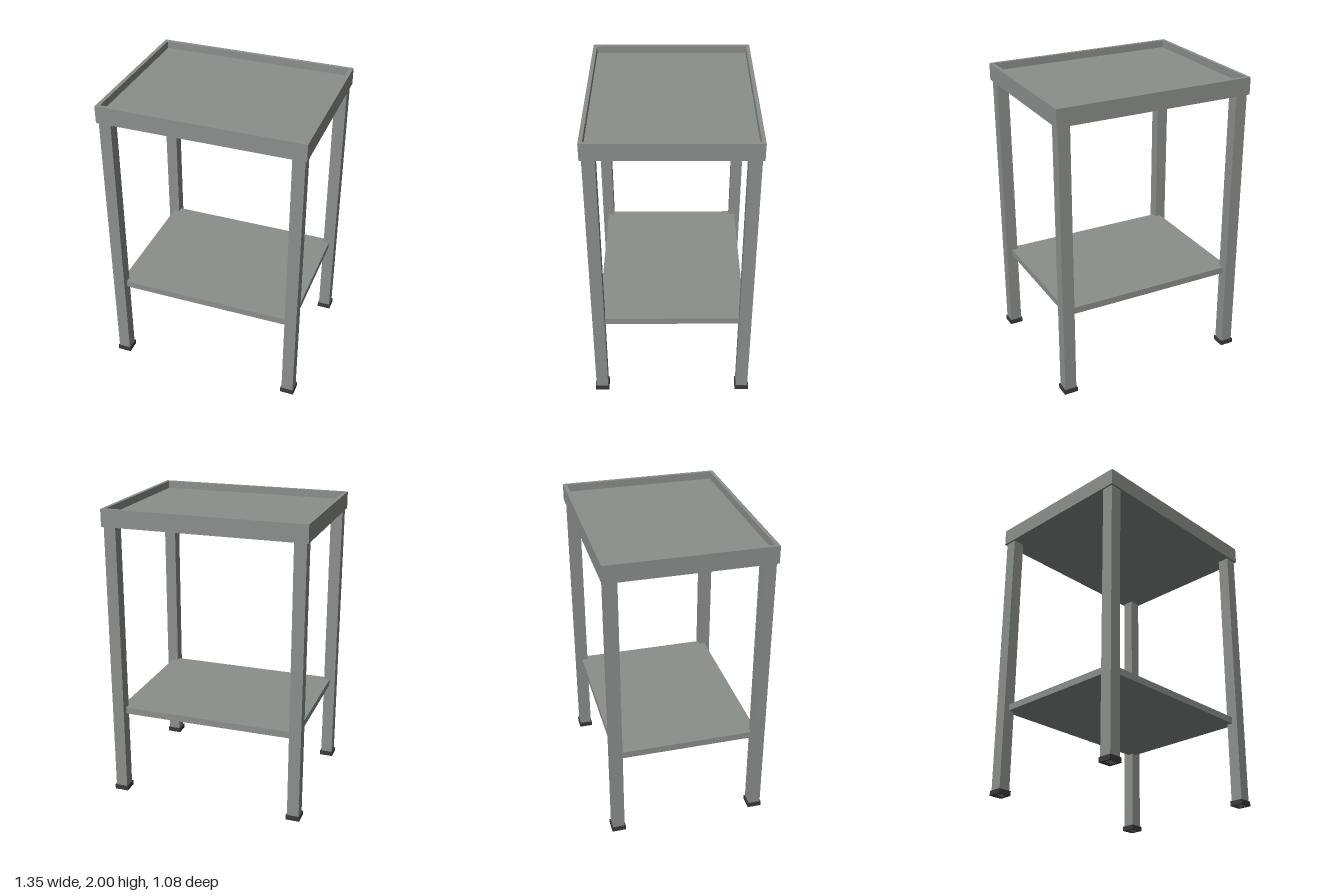
import * as THREE from 'three';

const steel = new THREE.MeshStandardMaterial({ color: 0x8b8f8c });
steel.name = 'greySteel';
const rubber = new THREE.MeshStandardMaterial({ color: 0x3a3838 });
rubber.name = 'darkRubber';

// Box placed by its bottom height
function box(name, w, h, d, x, y, z, material) {
  const mesh = new THREE.Mesh(new THREE.BoxGeometry(w, h, d), material);
  mesh.name = name;
  mesh.position.set(x, y + h / 2, z);
  return mesh;
}

// Upright rectangular frame with an open middle
function frame(name, w, d, wall, h, x, y, z, material) {
  const rect = (Type, a, b) => new Type([
    new THREE.Vector2(-a, -b), new THREE.Vector2(a, -b),
    new THREE.Vector2(a, b), new THREE.Vector2(-a, b),
  ]);
  const shape = rect(THREE.Shape, w / 2, d / 2);
  shape.holes.push(rect(THREE.Path, w / 2 - wall, d / 2 - wall));
  const geometry = new THREE.ExtrudeGeometry(shape, { depth: h, bevelEnabled: false });
  geometry.rotateX(-Math.PI / 2);
  const mesh = new THREE.Mesh(geometry, material);
  mesh.name = name;
  mesh.position.set(x, y, z);
  return mesh;
}

export function createModel() {
  const table = new THREE.Group();
  table.name = 'trayTable';

  const width = 1.35, depth = 1.08, rim = 0.025;
  const legX = 0.623, legZ = 0.487, legSize = 0.08;
  const trayBottom = 1.885;

  // Tray top: solid floor with a raised rim
  table.add(box('trayFloor', width, 0.065, depth, 0, trayBottom, 0, steel));
  table.add(frame('trayRim', width, depth, rim, 0.05, 0, 1.95, 0, steel));

  // Lower shelf, running into the middle of the legs
  table.add(box('lowerShelf', legX * 2, 0.045, legZ * 2, 0, 0.576, 0, steel));

  // Four legs with rubber feet
  for (const sx of [-1, 1]) {
    for (const sz of [-1, 1]) {
      const side = (sz > 0 ? 'front' : 'back') + (sx > 0 ? 'Left' : 'Right');
      const x = sx * legX, z = sz * legZ, base = 0.012;
      table.add(box(side + 'Leg', legSize, trayBottom - base, legSize, x, base, z, steel));
      table.add(frame(side + 'Foot', 0.094, 0.094, 0.014, 0.032, x, 0, z, rubber));
    }
  }
  return table;
}
